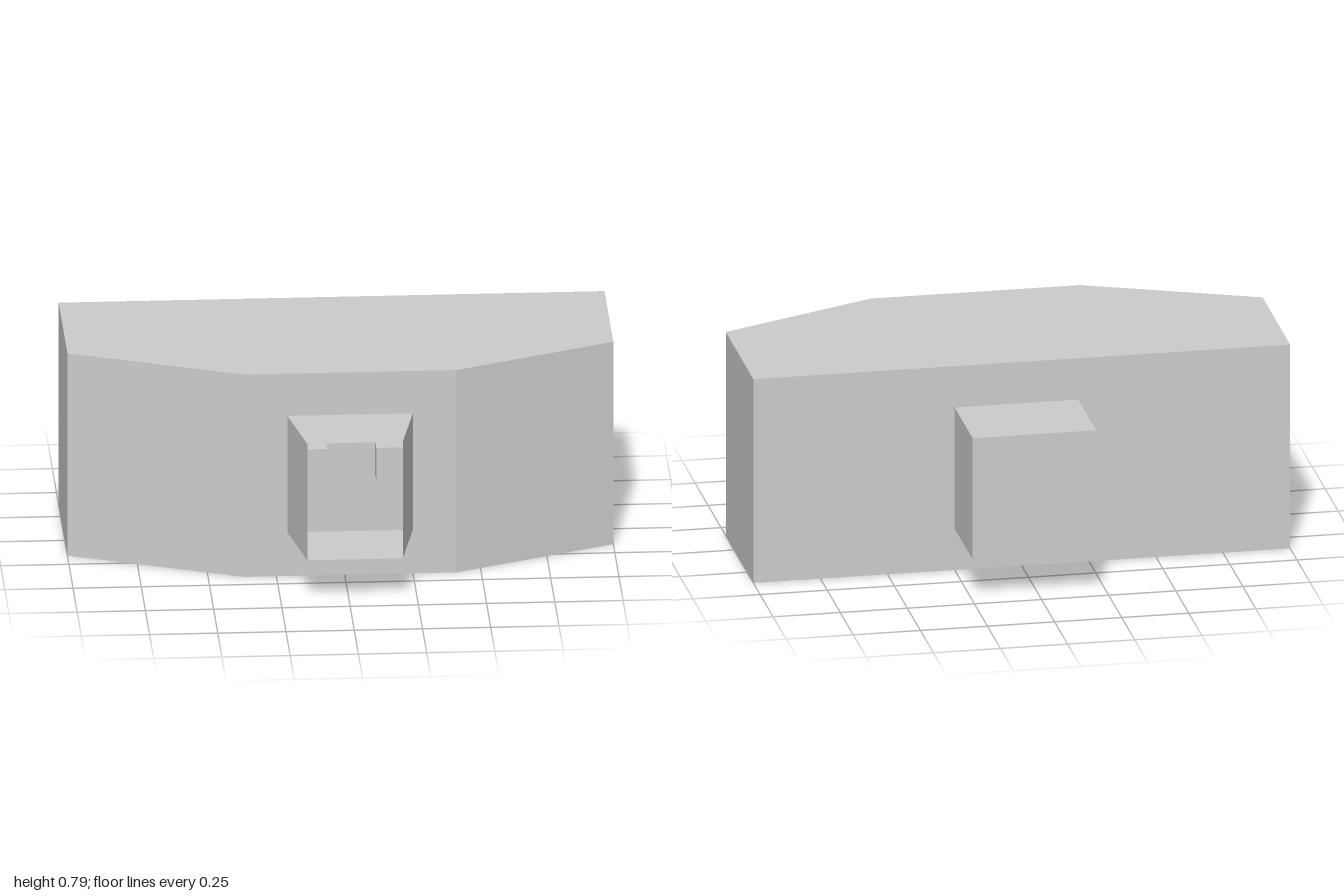
import * as THREE from 'three';

const grey = new THREE.MeshStandardMaterial({ color: 0xcccccc, flatShading: true });
const greyThin = new THREE.MeshStandardMaterial({ color: 0xcccccc, flatShading: true, side: THREE.DoubleSide });

function add(group, name, geometry, material = grey) {
  const mesh = new THREE.Mesh(geometry, material);
  mesh.name = name;
  group.add(mesh);
}

// Upright prism from a plan outline of [x, z] corners
function prism(plan, y0, y1) {
  const shape = new THREE.Shape(plan.map(([x, z]) => new THREE.Vector2(x, -z)));
  const geometry = new THREE.ExtrudeGeometry(shape, { depth: y1 - y0, bevelEnabled: false });
  return geometry.rotateX(-Math.PI / 2).translate(0, y0, 0);
}

// Thin four-sided duct, open at both ends, narrowing in x towards the front
function duct(back, front, y0, y1) {
  const ring = ({ x0, x1, z }) => [[x0, y0, z], [x1, y0, z], [x1, y1, z], [x0, y1, z]];
  const positions = [...ring(back), ...ring(front)].flat();
  const index = [];
  for (let i = 0; i < 4; i++) {
    const j = (i + 1) % 4;
    index.push(i, j, j + 4, i, j + 4, i + 4);
  }
  const geometry = new THREE.BufferGeometry();
  geometry.setAttribute('position', new THREE.Float32BufferAttribute(positions, 3));
  geometry.setIndex(index);
  const flat = geometry.toNonIndexed();
  flat.computeVertexNormals();
  return flat;
}

export function createModel() {
  const model = new THREE.Group();
  model.name = 'model';

  // Wide block with chamfered front corners
  add(model, 'body', prism([
    [-1, -0.37], [1, -0.37], [1, 0.16], [0.41, 0.42], [-0.37, 0.42], [-1, 0.16],
  ], 0, 0.79));

  // Plain box on the back
  add(model, 'rearBlock', prism([
    [-0.21, -0.715], [0.25, -0.715], [0.25, -0.36], [-0.21, -0.36],
  ], 0.16, 0.63));

  // Open, tapered nozzle on the front
  add(model, 'frontNozzle', duct(
    { x0: -0.21, x1: 0.25, z: 0.42 },
    { x0: -0.155, x1: 0.195, z: 0.715 },
    0.17, 0.625), greyThin);

  // Notched ledge inside the nozzle
  add(model, 'innerLedge', prism([
    [-0.2, 0.415], [0.24, 0.415], [0.225, 0.52], [0.11, 0.52],
    [0.11, 0.43], [-0.07, 0.43], [-0.07, 0.52], [-0.185, 0.52],
  ], 0.4, 0.53));

  return model;
}
